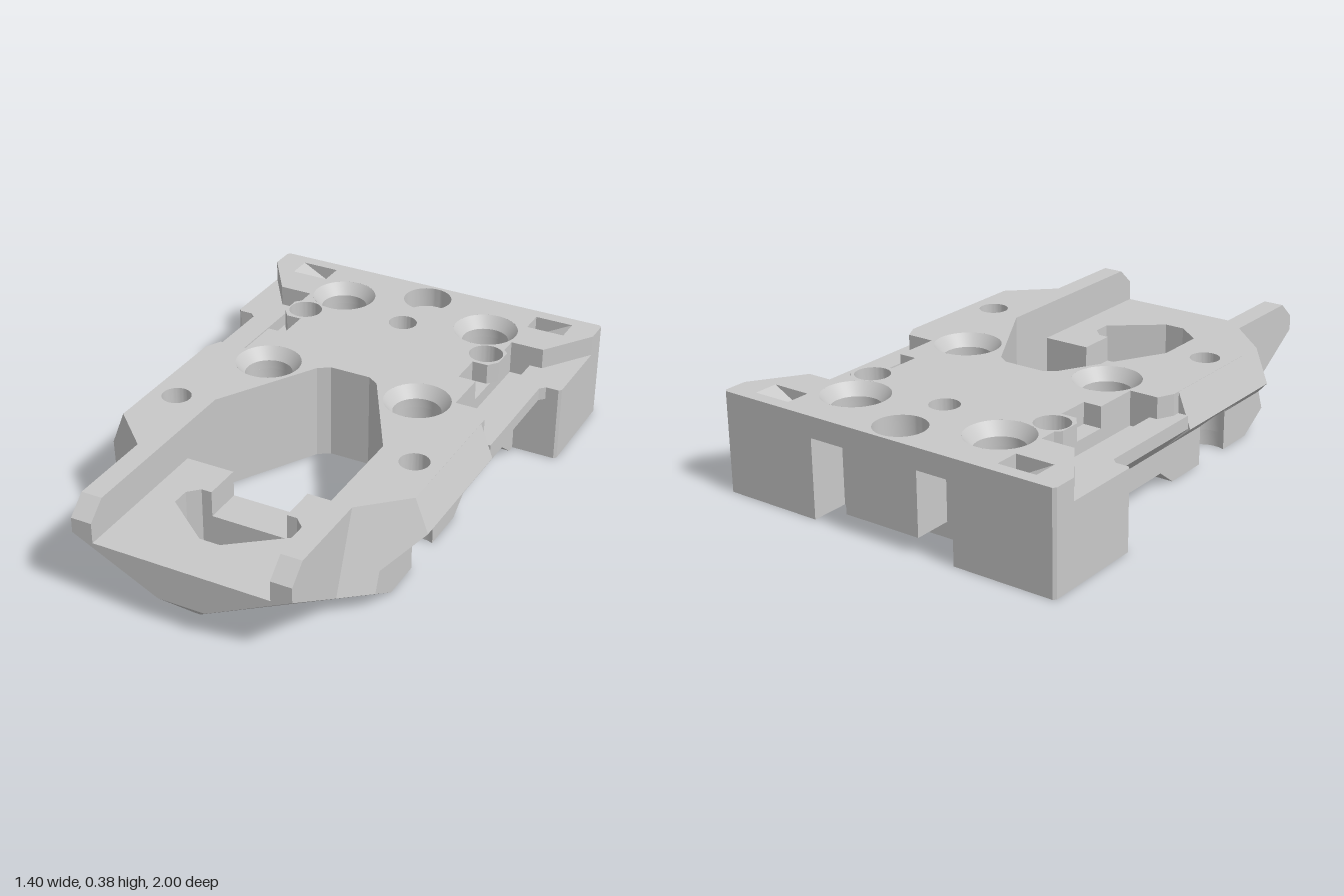
import * as THREE from 'three';
import { ConvexGeometry } from 'three/addons/geometries/ConvexGeometry.js';
import { toCreasedNormals } from 'three/addons/utils/BufferGeometryUtils.js';

export function createModel() {
  const group = new THREE.Group();
  const grey = new THREE.MeshStandardMaterial({ color: 0xc8c8c8 });
  grey.name = 'lightGrey';

  function add(name, geometry) {
    const mesh = new THREE.Mesh(geometry, grey);
    mesh.name = name;
    group.add(mesh);
    return mesh;
  }

  // Convex block: a box cut by extra planes [a, b, c, d], keeping ax + by + cz <= d
  function block(name, [x0, x1, y0, y1, z0, z1], cuts = [], side = 1) {
    const planes = [[-1, 0, 0, -x0], [1, 0, 0, x1], [0, -1, 0, -y0], [0, 1, 0, y1],
      [0, 0, -1, -z0], [0, 0, 1, z1], ...cuts].map(([a, b, c, d]) => [a * side, b, c, d]);
    const points = [];
    const n = planes.length;
    for (let i = 0; i < n; i++) for (let j = i + 1; j < n; j++) for (let k = j + 1; k < n; k++) {
      const [p, q, r] = [planes[i], planes[j], planes[k]];
      const m = new THREE.Matrix3().set(p[0], p[1], p[2], q[0], q[1], q[2], r[0], r[1], r[2]);
      if (Math.abs(m.determinant()) < 1e-6) continue;
      const v = new THREE.Vector3(p[3], q[3], r[3]).applyMatrix3(m.invert());
      if (planes.some(([a, b, c, d]) => a * v.x + b * v.y + c * v.z > d + 1e-6)) continue;
      if (!points.some((o) => o.distanceTo(v) < 1e-4)) points.push(v);
    }
    add(name, new ConvexGeometry(points));
  }
  function pair(name, box, cuts) {
    block(name + 'Left', box, cuts, 1);
    block(name + 'Right', box, cuts, -1);
  }

  // Flat layer: mirrored half outline of [x, z] points, with round [x, z, r] and
  // rectangular [x0, x1, z0, z1] holes
  function layer(name, y0, y1, half, round, rects = []) {
    const all = [...half, ...half.map(([x, z]) => [-x, z]).reverse()];
    const shape = new THREE.Shape(all.map(([x, z]) => new THREE.Vector2(x, -z)));
    for (const [x, z, r] of round) for (const s of x ? [1, -1] : [1]) {
      shape.holes.push(new THREE.Path().absarc(s * x, -z, r, 0, Math.PI * 2));
    }
    for (const [a, b, c, d] of rects) {
      shape.holes.push(new THREE.Path([[a, d], [b, d], [b, c], [a, c]]
        .map(([x, z]) => new THREE.Vector2(x, -z))));
    }
    const g = new THREE.ExtrudeGeometry(shape, { depth: y1 - y0, bevelEnabled: false, curveSegments: 32 });
    g.rotateX(-Math.PI / 2).translate(0, y0, 0);
    add(name, toCreasedNormals(g, 0.3));
  }

  // Shared outline pieces
  const corner = [[0.69, -1], [0.7, -0.99]];
  const blockEnd = [[0.7, -0.59], [0.69, -0.58]];
  const slot = [[0.155, -1], [0.155, -0.85], [0.3, -0.85], [0.3, -1]];
  const opening = [[0.34, 0.34], [0.34, 0.2], [0.125, -0.18], [0.08, -0.21]];
  // Round scallop of radius r cut into each side
  function scallop(r) {
    const start = Math.acos(0.04 / r);
    const points = [];
    for (let i = 0; i <= 16; i++) {
      const a = -start - (i / 16) * 2 * (Math.PI - start);
      points.push([0.48 + r * Math.cos(a), 0.24 + r * Math.sin(a)]);
    }
    return [...points, [0.52, 0.34]];
  }
  const middleHole = [0, -0.66, 0.055];
  const middleBore = [0, -0.66, 0.1];
  const backHole = [0, -0.89, 0.055];
  const pinHole = [0.39, -0.58, 0.045];
  const sideHole = [0.48, 0.24, 0.055];
  const bores = [[0.31, -0.76], [0.31, -0.14]];

  // Underside with side reliefs and a recessed pocket
  layer('bottomPlate', 0, 0.06, [[0.3, -0.85], [0.3, -1], ...corner, ...blockEnd, [0.52, -0.58],
    [0.52, -0.55], [0.45, -0.55], [0.45, -0.03], [0.52, -0.03], ...scallop(0.095), ...opening],
  [pinHole], [[-0.2, 0.2, -0.82, -0.5]]);
  pair('reliefRampBack', [0.45, 0.52, 0, 0.06, -0.55, -0.47], [[0, -0.08, 0.06, -0.033]]);
  pair('reliefRampFront', [0.45, 0.52, 0, 0.06, -0.11, -0.03], [[0, -0.08, -0.06, 0.0018]]);

  // Core, slotted at the back; the scallops narrow towards the top
  const coreBack = [...slot, ...corner, ...blockEnd, [0.52, -0.58]];
  layer('lowerCore', 0.06, 0.16, [...coreBack, ...scallop(0.095), ...opening], [pinHole, backHole, middleBore]);
  layer('middleCore', 0.16, 0.2, [...coreBack, ...scallop(0.08), ...opening], [pinHole, backHole, middleHole]);
  layer('upperCore', 0.2, 0.25, [...coreBack, [0.52, 0.14], [0.54, 0.14], [0.54, 0.34], ...opening],
    [pinHole, backHole, middleHole, sideHole]);

  // Ledge level with a sunken channel along each side
  layer('ledge', 0.25, 0.3, [...slot, ...corner, ...blockEnd, [0.64, -0.58], [0.62, -0.56],
    [0.62, -0.1], [0.58, -0.1], [0.58, 0.34], ...opening],
  [pinHole, backHole, middleHole, sideHole, ...bores.map(([x, z]) => [x, z, 0.09])],
  [[0.44, 0.52, -0.71, -0.19], [-0.52, -0.44, -0.71, -0.19]]);

  // Deck, cut back along the sides
  layer('deck', 0.3, 0.38, [...corner, [0.7, -0.9], [0.57, -0.71], [0.44, -0.71], [0.44, -0.64], [0.46, -0.62],
    [0.46, -0.54], [0.43, -0.5], [0.37, -0.5], [0.37, -0.37], [0.44, -0.37], [0.44, -0.19], [0.55, -0.19],
    [0.58, -0.13], [0.58, 0.34], ...opening],
  [middleHole, [0, -0.89, 0.095], [0.39, -0.58, 0.065], sideHole, ...bores.map(([x, z]) => [x, z, 0.125])],
  [[0.445, 0.595, -0.95, -0.855], [-0.595, -0.445, -0.95, -0.855]]);
  pair('pocketRamp', [0.445, 0.595, 0.3, 0.38, -0.95, -0.855], [[-0.08, 0.15, 0, 0.0094]]);

  // Chamfered seats in the four large bores
  for (const [x, z] of bores) for (const s of [1, -1]) {
    const ring = new THREE.LatheGeometry([[0.125, 0.3], [0.125, 0.38], [0.09, 0.335], [0.09, 0.3]]
      .map(([r, y]) => new THREE.Vector2(r, y)), 48);
    ring.deleteAttribute('normal');
    const seat = add('boreSeat', toCreasedNormals(ring, 0.3));
    seat.position.set(s * x, 0, z);
  }

  // Side flanks: leaning in above, undercut below
  const upper = [1, 0.385, 0, 0.726];
  const under = [1, -1.1, 0, 0.355];
  pair('backFlank', [0.52, 0.62, 0.15, 0.25, -0.58, -0.1], [[1, -1, 0, 0.37]]);
  pair('midFlank', [0.52, 0.64, 0.15, 0.38, -0.1, 0.15], [upper, under]);
  pair('scallopFlank', [0.54, 0.64, 0.2, 0.38, 0.15, 0.33], [upper, under]);
  pair('frontFlank', [0.52, 0.64, 0.15, 0.38, 0.33, 0.34], [upper, under]);

  // Tapered nose: keel planes rise forward and outward
  const keel = [[0.485, -1, 0.6, 0.544], [-0.485, -1, 0.6, 0.544], [0, -1, 1, 0.9]];
  const taper = [0.94, 0.37, 1, 1.1254];
  pair('shoulder', [0.42, 0.64, 0.15, 0.38, 0.34, 0.8], [upper, under, taper, ...keel]);
  pair('lowerShoulder', [0.42, 0.52, 0, 0.16, 0.34, 0.8], [taper, ...keel]);
  pair('noseRail', [0.34, 0.42, 0, 0.38, 0.34, 1], [[0, 1, 0.9, 1.217], ...keel]);

  // Channel floor around the front window
  block('bridge', [-0.15, 0.15, 0, 0.14, 0.4, 0.55], keel);
  pair('floorBack', [0.15, 0.34, 0, 0.24, 0.4, 0.55], keel);
  pair('floorBevel', [0.19, 0.34, 0, 0.24, 0.55, 0.59], [[-1, 0, 1, 0.36], ...keel]);
  pair('floorSide', [0.23, 0.34, 0, 0.24, 0.59, 0.66], keel);
  pair('floorCorner', [0.04, 0.34, 0, 0.24, 0.66, 0.81], [[-0.15, 0, -0.19, -0.1599], ...keel]);
  block('floorFront', [-0.34, 0.34, 0, 0.24, 0.81, 1], keel);

  return group;
}
